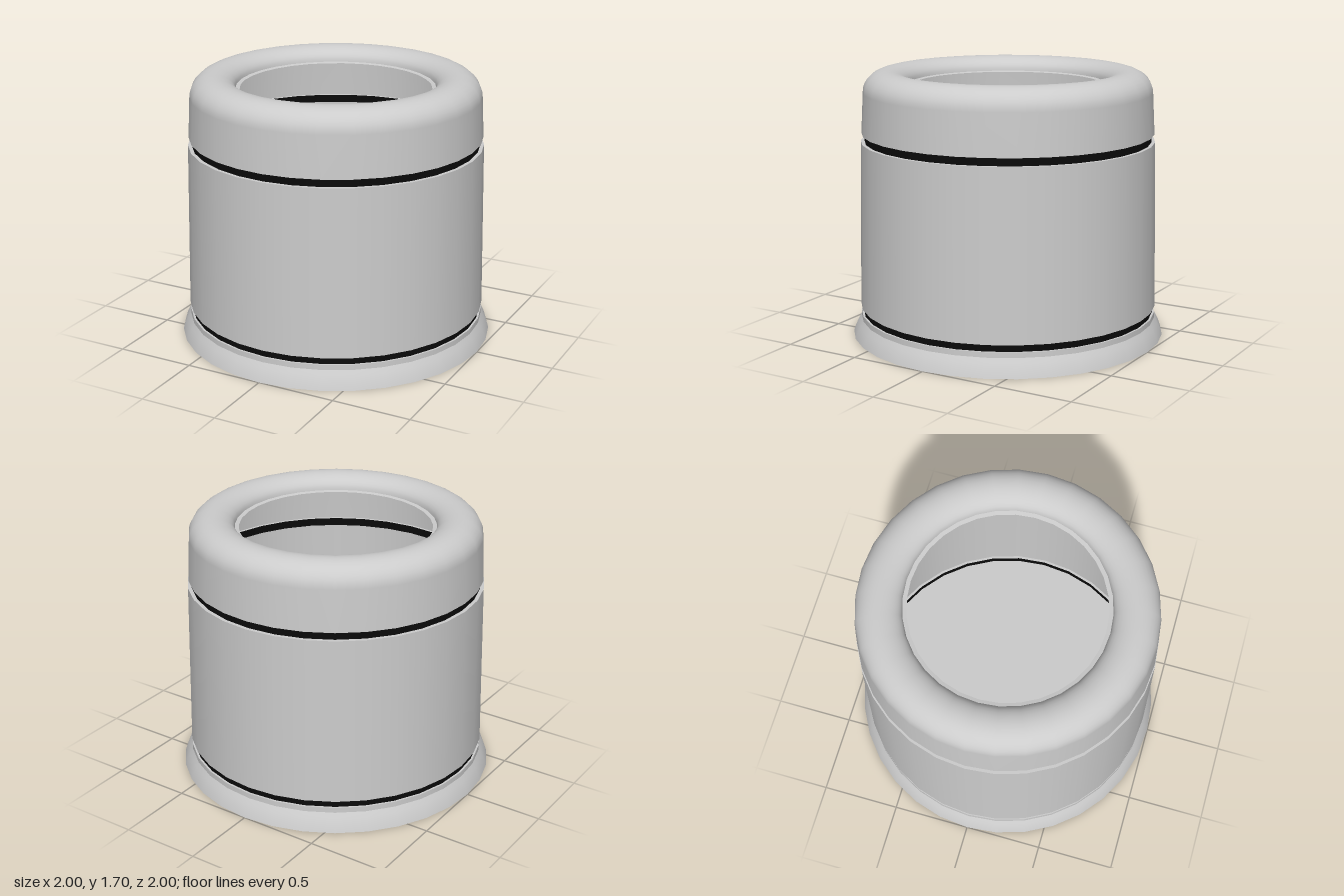
import * as THREE from 'three';

const SEGMENTS = 32;

export function createModel() {
  const model = new THREE.Group();
  const grey = new THREE.MeshStandardMaterial({ color: 0xcccccc, side: THREE.DoubleSide });
  const black = new THREE.MeshStandardMaterial({ color: 0x0a0a0a, side: THREE.DoubleSide });

  // Turned thin-walled part from a profile of [radius, height] points
  function turned(name, points, material = grey) {
    const profile = points.map(([r, y]) => new THREE.Vector2(r, y));
    const mesh = new THREE.Mesh(new THREE.LatheGeometry(profile, SEGMENTS), material);
    mesh.name = name;
    model.add(mesh);
  }

  // Closed bottom and flared foot
  turned('bottom', [[0, 0], [1, 0]]);
  turned('foot', [[1, 0], [0.987, 0.04], [0.967, 0.08], [0.948, 0.112]]);
  turned('footCollar', [[0.948, 0.112], [0.947, 0.145]]);

  // Slightly tapered wall
  turned('wall', [[0.95, 0.19], [0.93, 1.25]]);

  // Recessed dark bands, each with two narrow ledges
  const bands = [
    { name: 'lowerBand', y0: 0.145, y1: 0.19, r: 0.934, below: 0.947, above: 0.95 },
    { name: 'upperBand', y0: 1.25, y1: 1.3, r: 0.907, below: 0.93, above: 0.925 },
  ];
  for (const b of bands) {
    turned(b.name, [[b.r, b.y0], [b.r, b.y1]], black);
    turned(b.name + 'LowerLedge', [[b.below, b.y0], [b.r, b.y0]]);
    turned(b.name + 'UpperLedge', [[b.r, b.y1], [b.above, b.y1]]);
  }

  // Upper wall rolling over the top and down into the opening
  const roll = [[0.925, 1.3], [0.911, 1.56]];
  for (let i = 1; i <= 8; i++) {
    const a = (i / 8) * Math.PI / 2;
    roll.push([0.761 + 0.15 * Math.cos(a), 1.56 + 0.135 * Math.sin(a)]);
  }
  for (let i = 1; i <= 8; i++) {
    const a = (i / 8) * Math.PI / 2;
    roll.push([0.761 - 0.136 * Math.sin(a), 1.605 + 0.09 * Math.cos(a)]);
  }
  turned('rolledRim', roll);

  // Narrow flat lip around the opening
  turned('lip', [[0.625, 1.605], [0.6, 1.6]]);

  return model;
}
